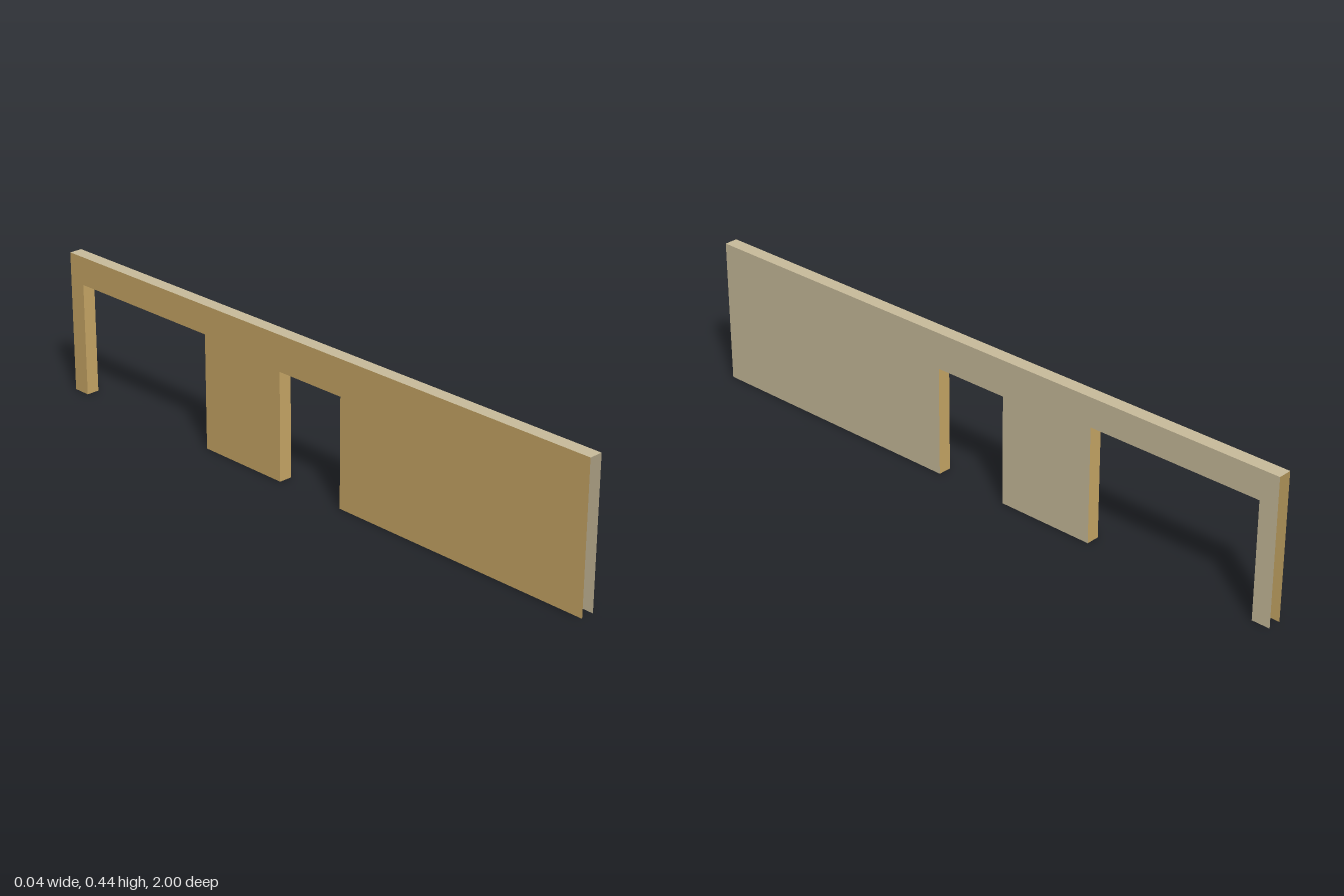
import * as THREE from 'three';

const HALF = 0.0205, HEIGHT = 0.4385;
// openings: front edge, back edge, head height
const openings = [
  { front: 0.142, back: -0.094, head: 0.33 },
  { front: -0.401, back: -0.944, head: 0.351 },
];

export function createModel() {
  const beige = new THREE.MeshStandardMaterial({ name: 'beige', color: 0xcabd9c, side: THREE.DoubleSide });
  const ochre = new THREE.MeshStandardMaterial({ name: 'ochre', color: 0xcaa967, side: THREE.DoubleSide });
  const group = new THREE.Group();
  group.name = 'wall';

  const add = (name, geometry, material) => {
    const mesh = new THREE.Mesh(geometry, material);
    mesh.name = name;
    group.add(mesh);
    return mesh;
  };

  // Wall outline with the openings cut from the bottom edge; s is the side (+1 left, -1 right)
  const wallFace = (s) => {
    const outline = [[1, HEIGHT], [1, 0]];
    for (const o of openings) {
      outline.push([o.front, 0], [o.front, o.head], [o.back, o.head], [o.back, 0]);
    }
    outline.push([-1, 0], [-1, HEIGHT]);
    const shape = new THREE.Shape(outline.map(([z, y]) => new THREE.Vector2(-s * z, y)));
    return new THREE.ShapeGeometry(shape).rotateY(s * Math.PI / 2).translate(s * HALF, 0, 0);
  };

  // The wall is a hollow shell, open at both ends and underneath
  add('leftFace', wallFace(1), beige);
  add('rightFace', wallFace(-1), ochre);
  add('topFace', new THREE.PlaneGeometry(2 * HALF, 2).rotateX(-Math.PI / 2), beige).position.y = HEIGHT;

  // Jambs and head lining each opening
  openings.forEach((o, i) => {
    const n = i + 1;
    const jamb = () => new THREE.PlaneGeometry(2 * HALF, o.head);
    add(`frontJamb${n}`, jamb().rotateY(Math.PI), ochre).position.set(0, o.head / 2, o.front);
    add(`backJamb${n}`, jamb(), ochre).position.set(0, o.head / 2, o.back);
    add(`openingHead${n}`, new THREE.PlaneGeometry(2 * HALF, o.front - o.back).rotateX(Math.PI / 2), ochre)
      .position.set(0, o.head, (o.front + o.back) / 2);
  });
  return group;
}
